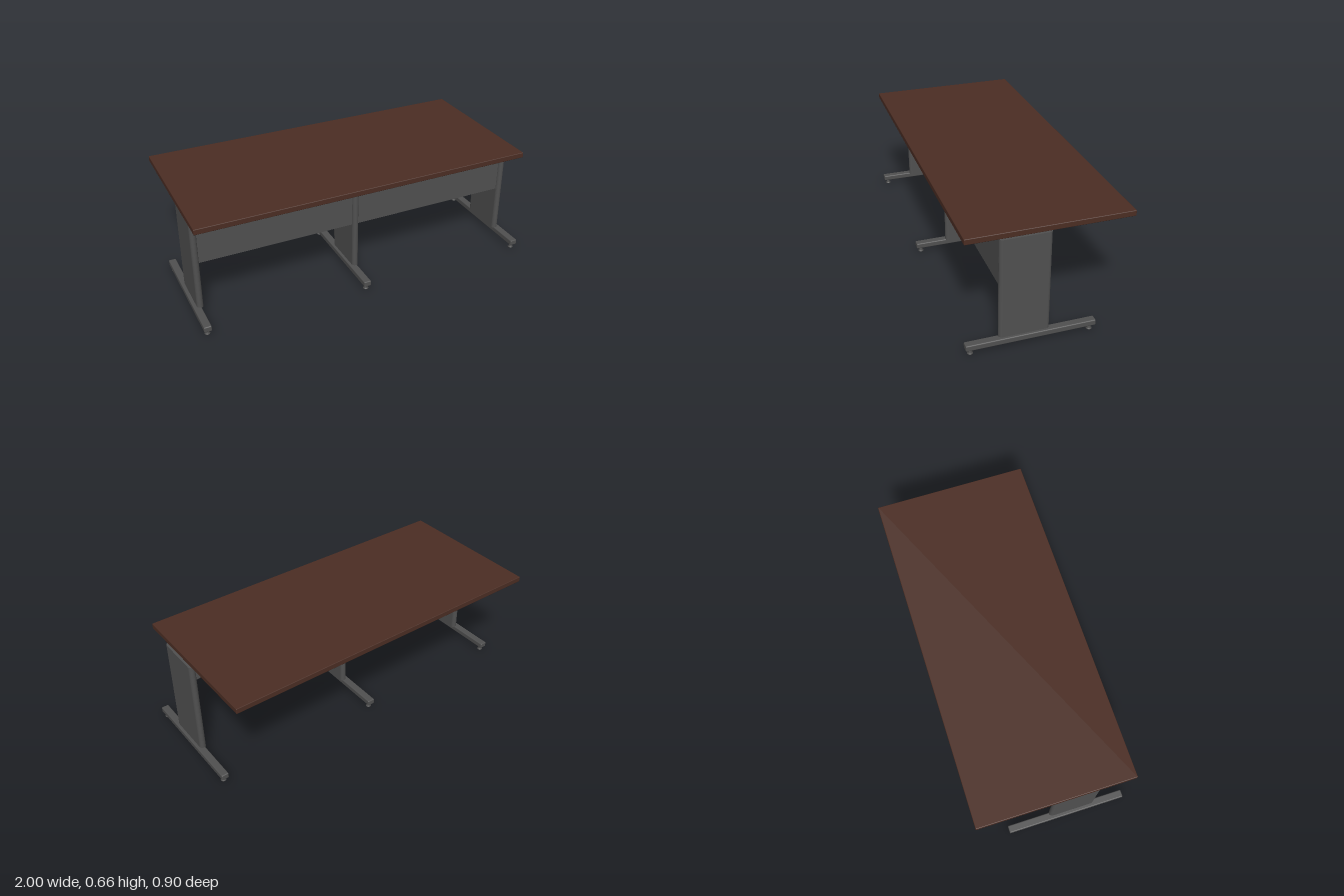
import * as THREE from 'three';
import { RoundedBoxGeometry } from 'three/addons/geometries/RoundedBoxGeometry.js';

const wood = new THREE.MeshStandardMaterial({ color: 0x4b2d23 });
wood.name = 'dark brown wood';
const steel = new THREE.MeshStandardMaterial({ color: 0x505050 });
steel.name = 'dark grey steel';

// Box given by its min and max corners, with softened edges
function softBox(name, material, [x0, y0, z0], [x1, y1, z1], radius) {
  const geometry = new RoundedBoxGeometry(x1 - x0, y1 - y0, z1 - z0, 2, radius);
  const mesh = new THREE.Mesh(geometry, material);
  mesh.name = name;
  mesh.position.set((x0 + x1) / 2, (y0 + y1) / 2, (z0 + z1) / 2);
  return mesh;
}

// Upright slab with rounded front and back edges
function columnGeometry(width, depth, height) {
  const r = width / 2;
  const d = depth / 2 - r;
  const shape = new THREE.Shape();
  shape.moveTo(r, -d);
  shape.lineTo(r, d);
  shape.absarc(0, d, r, 0, Math.PI, false);
  shape.lineTo(-r, -d);
  shape.absarc(0, -d, r, Math.PI, Math.PI * 2, false);
  const geometry = new THREE.ExtrudeGeometry(shape, { depth: height, bevelEnabled: false, curveSegments: 10 });
  return geometry.rotateX(-Math.PI / 2);
}

// Levelling glide: flared pad with a short stem
const glideGeometry = new THREE.LatheGeometry(
  [[0, 0], [0.0155, 0], [0.0155, 0.004], [0.01, 0.009], [0.01, 0.03]].map(([x, y]) => new THREE.Vector2(x, y)),
  20
);

// One support: column, floor beam and two glides
function makeLeg(name, columnX, beamX) {
  const leg = new THREE.Group();
  leg.name = name;
  const column = new THREE.Mesh(columnGeometry(0.037, 0.273, 0.574), steel);
  column.name = 'column';
  column.position.set(columnX, 0.057, 0.1335);
  leg.add(column);
  leg.add(softBox('floorBeam', steel, [beamX - 0.0215, 0.027, -0.256], [beamX + 0.0215, 0.06, 0.449], 0.006));
  for (const z of [0.422, -0.227]) {
    const glide = new THREE.Mesh(glideGeometry, steel);
    glide.name = 'glide';
    glide.position.set(beamX, 0, z);
    leg.add(glide);
  }
  return leg;
}

export function createModel() {
  const table = new THREE.Group();
  table.name = 'conferenceTable';

  table.add(softBox('tableTop', wood, [-1, 0.63, -0.449], [0.972, 0.662, 0.442], 0.004));

  table.add(makeLeg('rightLeg', -0.962, -0.9785));
  table.add(makeLeg('middleLeg', -0.021, -0.033));
  table.add(makeLeg('leftLeg', 0.966, 0.9785));

  // Modesty panels between the legs
  const spans = [['rightModestyPanel', -0.95, -0.03], ['leftModestyPanel', -0.012, 0.955]];
  for (const [name, x0, x1] of spans) {
    const panel = new THREE.Mesh(new THREE.BoxGeometry(x1 - x0, 0.295, 0.014), steel);
    panel.name = name;
    panel.position.set((x0 + x1) / 2, 0.4825, 0.245);
    table.add(panel);
  }
  return table;
}
